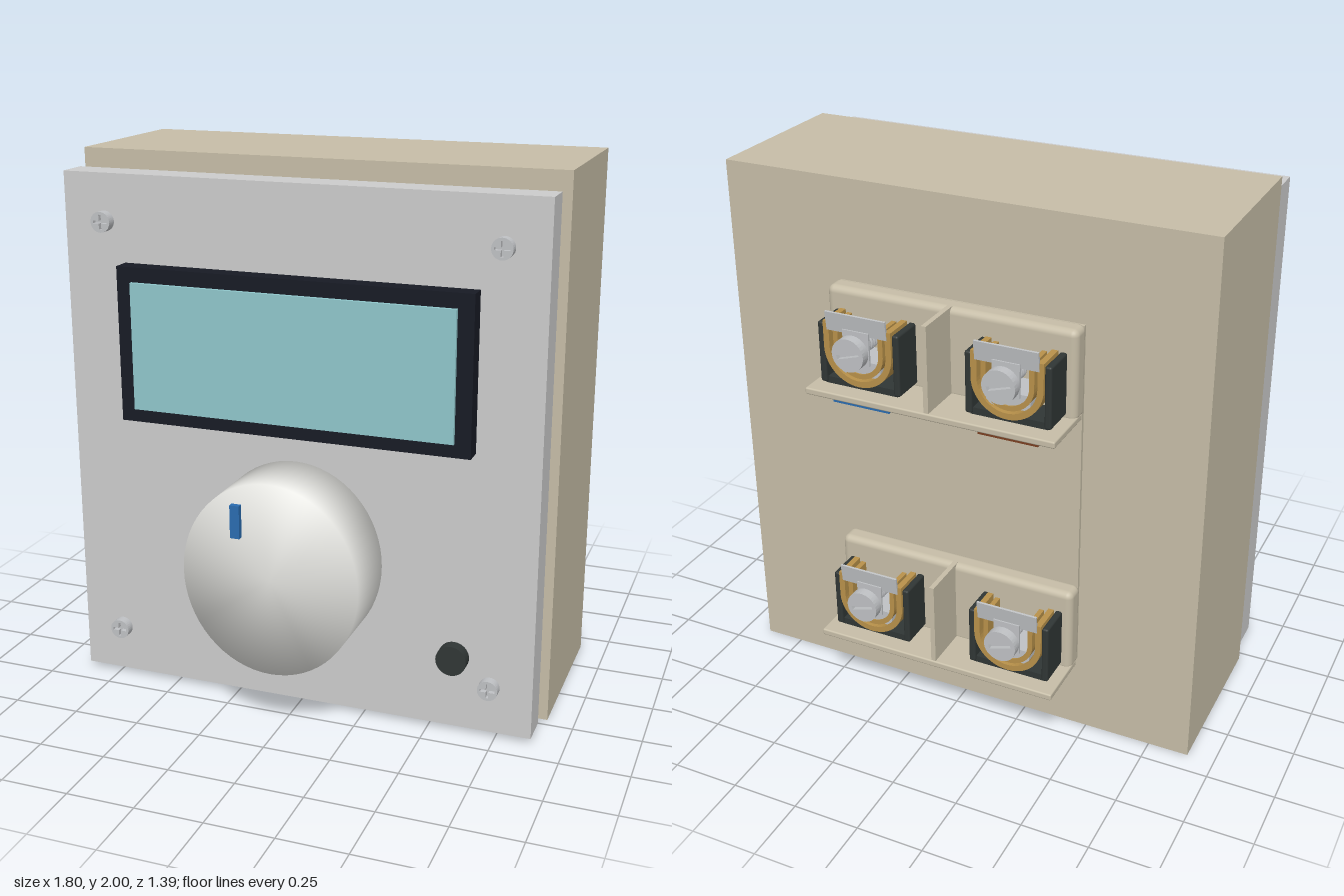
import * as THREE from 'three';
import { mergeVertices } from 'three/addons/utils/BufferGeometryUtils.js';
import { RoundedBoxGeometry } from 'three/addons/geometries/RoundedBoxGeometry.js';

const paint = (color) => new THREE.MeshStandardMaterial({ color });
const beige = paint(0xc6bda7);
const grey = paint(0xcccccc);
const black = paint(0x171a24);
const glass = paint(0x8fc6cb);
const white = paint(0xe2e2de);
const blue = paint(0x2a6cb0);
const brown = paint(0x7a4022);
const brass = paint(0xb8914a);
const slate = paint(0x303635);
const steel = paint(0xbfc1c4);

function add(parent, name, geometry, material, x = 0, y = 0, z = 0) {
  const mesh = new THREE.Mesh(geometry, material);
  mesh.name = name;
  mesh.position.set(x, y, z);
  parent.add(mesh);
  return mesh;
}

// Box given by its limits on each axis; a radius rounds its edges
function block(parent, name, material, [x0, x1], [y0, y1], [z0, z1], radius = 0) {
  const size = [x1 - x0, y1 - y0, z1 - z0];
  const geometry = radius ? new RoundedBoxGeometry(...size, 3, radius) : new THREE.BoxGeometry(...size);
  return add(parent, name, geometry, material, (x0 + x1) / 2, (y0 + y1) / 2, (z0 + z1) / 2);
}

// Cylinder lying along z
function disc(radius, depth, sides = 32) {
  return new THREE.CylinderGeometry(radius, radius, depth, sides).rotateX(Math.PI / 2);
}

// Screw head facing +z from z = 0, with a recessed cross or single slot
function screwHead(name, radius, depth, cross) {
  const head = new THREE.Group();
  head.name = name;
  const a = radius * 0.13, b = radius * 0.72;
  const points = cross
    ? [[a, a], [b, a], [b, -a], [a, -a], [a, -b], [-a, -b], [-a, -a], [-b, -a], [-b, a], [-a, a], [-a, b], [a, b]]
    : [[b, a], [b, -a], [-b, -a], [-b, a]];
  const rim = new THREE.Shape().absarc(0, 0, radius, 0, Math.PI * 2);
  rim.holes.push(new THREE.Path(points.map(([x, y]) => new THREE.Vector2(x, y))));
  add(head, 'headBase', disc(radius, depth / 2), steel, 0, 0, depth / 4);
  const top = new THREE.ExtrudeGeometry(rim, { depth: depth / 2, bevelEnabled: false, curveSegments: 16 });
  add(head, 'slottedTop', top, steel, 0, 0, depth / 2);
  return head;
}

// U-shaped strip, open at the top, extruded along z
function uStrip(width, height, thickness, depth) {
  const r = width / 2, q = r - thickness;
  const shape = new THREE.Shape();
  shape.moveTo(r, height);
  shape.lineTo(r, r);
  shape.absarc(0, r, r, 0, -Math.PI, true);
  shape.lineTo(-r, height);
  shape.lineTo(-q, height);
  shape.lineTo(-q, r);
  shape.absarc(0, r, q, -Math.PI, 0, false);
  shape.lineTo(q, height);
  shape.closePath();
  return new THREE.ExtrudeGeometry(shape, { depth, bevelEnabled: false, curveSegments: 12 });
}

// Screw clamp standing on its shelf at y = 0
function terminal(marker) {
  const group = new THREE.Group();
  group.name = 'terminal';
  for (const side of [-1, 1]) {
    const xs = [side * 0.13, side * 0.155].sort((a, b) => a - b);
    block(group, 'clampCheek', slate, xs, [0.01, 0.235], [-0.63, -0.5], 0.008);
  }
  block(group, 'clampFoot', slate, [-0.14, 0.14], [0.005, 0.03], [-0.62, -0.5]);
  add(group, 'brassCradle', uStrip(0.26, 0.225, 0.022, 0.115), brass, 0, 0.02, -0.635);
  add(group, 'innerCradle', uStrip(0.19, 0.19, 0.018, 0.1), brass, 0, 0.05, -0.63);
  block(group, 'clampNut', steel, [-0.08, 0.08], [0.06, 0.115], [-0.625, -0.505]);

  // Screw with threads
  const y = 0.165;
  add(group, 'screwShaft', disc(0.024, 0.14, 20), steel, 0, y, -0.605);
  for (let i = 0; i < 6; i++) {
    const ring = add(group, 'screwThread', new THREE.TorusGeometry(0.025, 0.006, 6, 20), steel, 0, y, -0.55 - i * 0.016);
    ring.rotation.y = 0.12;
  }
  add(group, 'washer', disc(0.045, 0.008), steel, 0, y, -0.654);
  const head = screwHead('terminalScrew', 0.06, 0.035, false);
  head.position.set(0, y, -0.664);
  head.rotation.set(0, Math.PI, 0.3);
  group.add(head);

  // Blank tag above the screw and coloured marker under the shelf
  const tag = block(group, 'tagPlate', steel, [-0.115, 0.115], [0.215, 0.285], [-0.64, -0.632]);
  tag.rotation.x = -0.12;
  block(group, 'tagStem', steel, [-0.05, 0.05], [0.11, 0.23], [-0.643, -0.635]);
  block(group, 'marker', marker, [-0.11, 0.11], [-0.06, -0.02], [-0.63, -0.56]);
  return group;
}

// Pair of terminals on a shelf; y is the top of the shelf
function terminalRow(y, leftMarker, rightMarker) {
  const row = new THREE.Group();
  row.name = 'terminalRow';
  row.position.y = y;
  block(row, 'backing', beige, [-0.467, 0.467], [-0.02, 0.315], [-0.507, -0.425], 0.025);
  block(row, 'shelf', beige, [-0.467, 0.467], [-0.025, 0], [-0.68, -0.45], 0.006);
  block(row, 'divider', beige, [-0.009, 0.009], [-0.01, 0.315], [-0.675, -0.48]);
  for (const [x, marker] of [[0.277, leftMarker], [-0.277, rightMarker]]) {
    const unit = terminal(marker);
    unit.position.x = x;
    row.add(unit);
  }
  return row;
}

export function createModel() {
  const model = new THREE.Group();
  model.name = 'wallController';

  // Housing, gasket and front panel
  block(model, 'housing', beige, [-0.9, 0.9], [0, 2], [-0.42, 0.215]);
  block(model, 'gasket', black, [-0.875, 0.875], [0.03, 1.93], [0.262, 0.288]);
  block(model, 'frontPanel', grey, [-0.88, 0.88], [0.02, 1.94], [0.286, 0.405]);

  // Components in the gap behind the panel
  block(model, 'relay', black, [0.21, 0.5], [0.48, 0.9], [0.21, 0.265]);
  for (const y of [0.905, 1.22]) {
    block(model, 'gapComponent', black, [0.37, 0.55], [y, y + 0.155], [0.21, 0.25]);
  }

  // Display
  block(model, 'displayBezel', black, [-0.65, 0.65], [1.06, 1.625], [0.405, 0.473]);
  block(model, 'displayScreen', glass, [-0.593, 0.593], [1.11, 1.572], [0.46, 0.488]);

  // Oval knob with normals blended over the rim
  let knob = new THREE.CylinderGeometry(1, 1, 0.255, 64).rotateX(Math.PI / 2).scale(0.325, 0.355, 1);
  knob.deleteAttribute('normal');
  knob.deleteAttribute('uv');
  knob = mergeVertices(knob);
  knob.computeVertexNormals();
  add(model, 'knob', knob, white, 0, 0.605, 0.5475);
  block(model, 'knobMark', blue, [-0.135, -0.1], [0.755, 0.875], [0.67, 0.695]);

  // Push button
  add(model, 'pushButton', disc(0.055, 0.043), slate, 0.61, 0.33, 0.494);

  // Panel screws
  for (const x of [-0.725, 0.725]) {
    for (const y of [0.197, 1.77]) {
      const screw = screwHead('panelScrew', 0.037, 0.037, true);
      screw.position.set(x, y, 0.403);
      model.add(screw);
    }
  }

  // Rear mounting plate and terminals
  block(model, 'rearPlate', beige, [-0.46, 0.46], [0.3, 1.63], [-0.434, -0.41]);
  model.add(terminalRow(1.325, blue, brown));
  model.add(terminalRow(0.313, brown, brown));
  return model;
}
